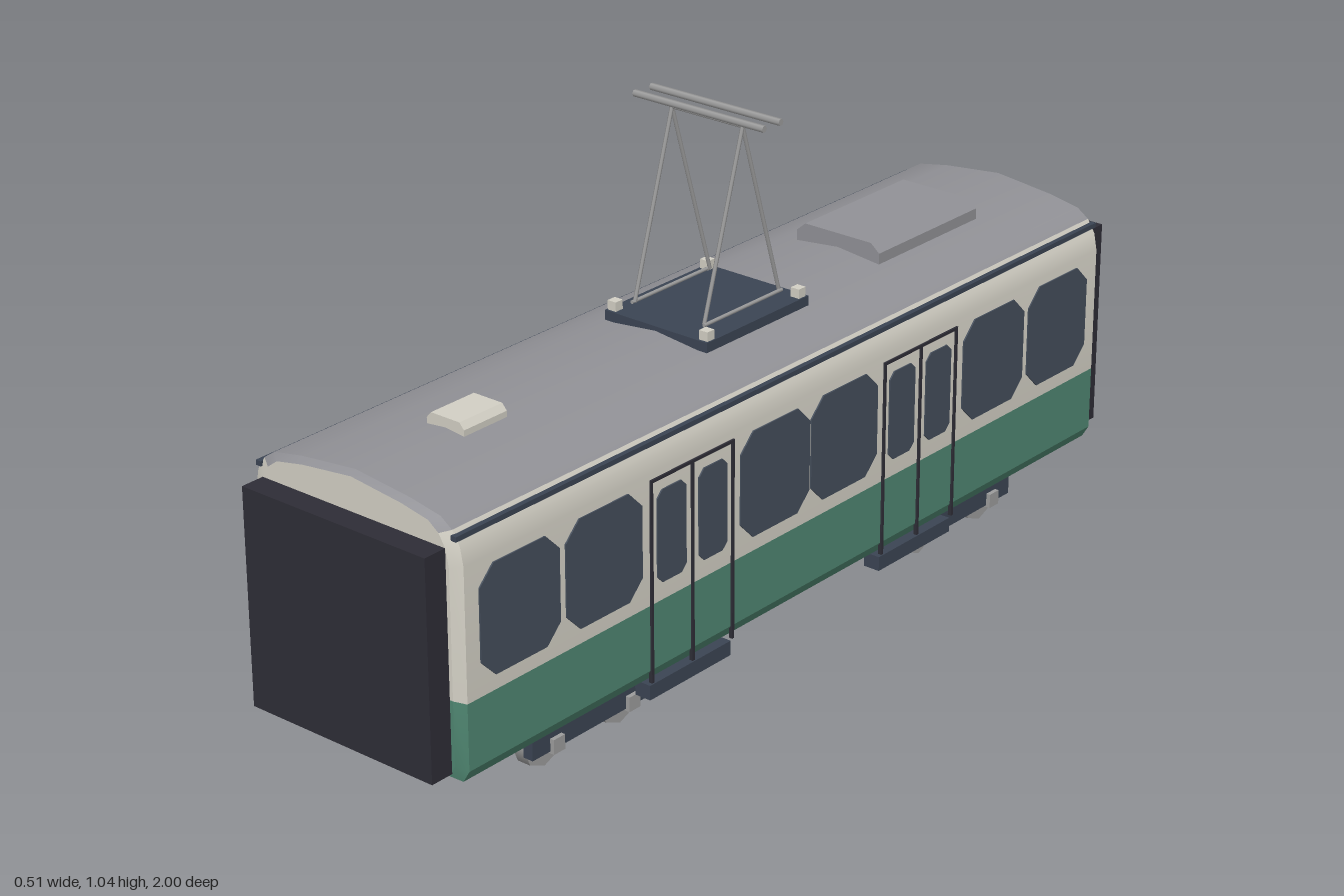
import * as THREE from 'three';
import { toCreasedNormals } from 'three/addons/utils/BufferGeometryUtils.js';

const mat = (name, color) => Object.assign(new THREE.MeshStandardMaterial({ color }), { name });

export function createModel() {
  const M = {
    green: mat('green paint', 0x4f8671),
    cream: mat('cream paint', 0xd2cfc4),
    grey: mat('roof grey', 0x919196),
    glass: mat('window glass', 0x454e5b),
    black: mat('bellows black', 0x2e2d36),
    steel: mat('blue steel', 0x3b4453),
    wheel: mat('wheel grey', 0x9c9c9c),
  };
  const root = new THREE.Group();
  root.name = 'tramCar';

  const add = (name, geo, material, x = 0, y = 0, z = 0, parent = root) => {
    const m = new THREE.Mesh(geo, material);
    m.name = name;
    m.position.set(x, y, z);
    parent.add(m);
    return m;
  };
  // Box given by its limits on each axis
  const box = (name, material, x0, x1, y0, y1, z0, z1, parent = root) =>
    add(name, new THREE.BoxGeometry(x1 - x0, y1 - y0, z1 - z0), material,
      (x0 + x1) / 2, (y0 + y1) / 2, (z0 + z1) / 2, parent);
  const rod = (name, material, a, b, r, parent) => {
    const p = new THREE.Vector3(...a), d = new THREE.Vector3(...b).sub(p);
    const m = add(name, new THREE.CylinderGeometry(r, r, d.length(), 6), material, 0, 0, 0, parent);
    m.position.copy(p).addScaledVector(d, 0.5);
    m.quaternion.setFromUnitVectors(new THREE.Vector3(0, 1, 0), d.normalize());
  };

  // Body shell: strips of the cross-section swept along z, drawn in at both ends
  const inset = ([x, y]) => [x * 0.91, 0.36 + (y - 0.36) * 0.965];
  const same = (p) => p;
  const stations = [[-0.95, inset], [-0.938, same], [0.938, same], [0.95, inset]];
  const sweep = (name, material, line) => {
    const pos = [];
    for (let s = 0; s < 3; s++) {
      for (let i = 0; i < line.length - 1; i++) {
        const [z0, f0] = stations[s], [z1, f1] = stations[s + 1];
        const a = [...f0(line[i]), z0], b = [...f0(line[i + 1]), z0];
        const c = [...f1(line[i + 1]), z1], d = [...f1(line[i]), z1];
        pos.push(...a, ...b, ...c, ...a, ...c, ...d);
      }
    }
    const g = new THREE.BufferGeometry();
    g.setAttribute('position', new THREE.Float32BufferAttribute(pos, 3));
    add(name, toCreasedNormals(g, 0.5), material);
  };
  const endCap = (name, material, outline) => {
    const shape = new THREE.Shape(outline.map((p) => new THREE.Vector2(...inset(p))));
    for (const s of [1, -1]) {
      const m = add(name, new THREE.ShapeGeometry(shape), material, 0, 0, s * 0.95);
      if (s < 0) m.rotation.y = Math.PI;
    }
  };
  const mirror = (line) => line.map(([x, y]) => [-x, y]).reverse();
  const skirt = [[0.235, 0.11], [0.25, 0.135], [0.25, 0.267]];
  const wall = [[0.25, 0.267], [0.25, 0.53], [0.243, 0.565], [0.226, 0.592]];
  const halfRoof = [[0.226, 0.592], [0.2, 0.61], [0.13, 0.623], [0, 0.637]];
  const roof = [...halfRoof, ...mirror(halfRoof).slice(1)];
  sweep('lowerSideLeft', M.green, skirt);
  sweep('lowerSideRight', M.green, mirror(skirt));
  sweep('upperSideLeft', M.cream, wall);
  sweep('upperSideRight', M.cream, mirror(wall));
  sweep('roof', M.grey, roof);
  sweep('floor', M.grey, [[-0.235, 0.11], [0.235, 0.11]]);
  endCap('lowerEnd', M.green, [...skirt, ...mirror(skirt)]);
  endCap('upperEnd', M.cream, [...wall, ...roof.slice(1, -1), ...mirror(wall)]);

  // Gangway bellows at both ends
  for (const s of [1, -1]) {
    add('bellows', new THREE.BoxGeometry(0.44, 0.435, 0.06), M.black, 0, 0.3425, s * 0.97);
  }

  // Window plate with cut corners, lying in the side wall
  const pane = (w, h, c) => {
    const x = w / 2, y = h / 2;
    const pts = [[-x + c, -y], [x - c, -y], [x, -y + c], [x, y - c],
      [x - c, y], [-x + c, y], [-x, y - c], [-x, -y + c]];
    const shape = new THREE.Shape(pts.map((p) => new THREE.Vector2(...p)));
    return new THREE.ExtrudeGeometry(shape, { depth: 0.006, bevelEnabled: false })
      .translate(0, 0, -0.003).rotateY(Math.PI / 2);
  };
  const windowGeo = pane(0.203, 0.215, 0.036);
  const doorPane = pane(0.08, 0.185, 0.014);

  for (const side of [1, -1]) {
    const x = side * 0.25;
    for (const e of [1, -1]) {
      for (const z of [0.802, 0.583, 0.104]) add('window', windowGeo, M.glass, x, 0.405, e * z);
      // Double door: seams, panes and step
      const door = new THREE.Group();
      door.name = 'door';
      door.position.set(x, 0, e * 0.342);
      root.add(door);
      for (const z of [-0.114, 0, 0.114]) {
        box('doorSeam', M.black, -0.004, 0.004, 0.11, 0.517, z - 0.003, z + 0.003, door);
      }
      box('doorHead', M.black, -0.004, 0.004, 0.511, 0.517, -0.114, 0.114, door);
      for (const z of [-0.058, 0.058]) add('doorWindow', doorPane, M.glass, 0, 0.396, z, door);
      add('step', new THREE.BoxGeometry(0.036, 0.03, 0.23), M.steel, -side * 0.021, 0.087, 0, door);
    }
    add('gutter', new THREE.BoxGeometry(0.012, 0.01, 1.89), M.steel, side * 0.235, 0.58, 0);
  }

  // Underframe box and bogies
  box('underframe', M.grey, -0.165, 0.165, 0.073, 0.112, -0.345, 0.345);
  const wheelGeo = new THREE.CylinderGeometry(0.055, 0.055, 0.03, 8).rotateZ(Math.PI / 2);
  for (const e of [1, -1]) {
    const bogie = new THREE.Group();
    bogie.name = 'bogie';
    bogie.position.z = e * 0.56;
    root.add(bogie);
    box('bolster', M.steel, -0.185, 0.185, 0.07, 0.112, -0.045, 0.045, bogie);
    for (const s of [1, -1]) {
      add('sideFrame', new THREE.BoxGeometry(0.022, 0.042, 0.33), M.steel, s * 0.19, 0.066, 0, bogie);
      for (const z of [0.103, -0.103]) {
        add('wheel', wheelGeo, M.wheel, s * 0.158, 0.055, z, bogie);
        add('axleBox', new THREE.BoxGeometry(0.012, 0.03, 0.03), M.wheel, s * 0.204, 0.056, z, bogie);
      }
    }
    for (const z of [0.103, -0.103]) {
      rod('axle', M.steel, [-0.15, 0.055, z], [0.15, 0.055, z], 0.012, bogie);
    }
  }

  // Roof boxes, narrowed towards the top
  const hatch = (name, material, w, h, l, taper, y, z) => {
    const g = new THREE.BoxGeometry(w, h, l, 1, 2, 1).toNonIndexed();
    const p = g.attributes.position;
    for (let i = 0; i < p.count; i++) {
      if (p.getY(i) > h * 0.4) p.setX(i, p.getX(i) * taper);
      else if (Math.abs(p.getY(i)) < 1e-4) p.setY(i, h * 0.15);
    }
    g.computeVertexNormals();
    add(name, g, material, 0, y, z);
  };
  hatch('airConditioner', M.grey, 0.204, 0.05, 0.32, 0.8, 0.641, -0.56);
  hatch('roofVent', M.cream, 0.09, 0.035, 0.11, 0.76, 0.639, 0.66);

  // Pantograph
  const panto = new THREE.Group();
  panto.name = 'pantograph';
  root.add(panto);
  box('basePlate', M.steel, -0.125, 0.125, 0.626, 0.646, -0.15, 0.15, panto);
  for (const s of [1, -1]) {
    for (const e of [1, -1]) {
      add('insulator', new THREE.BoxGeometry(0.02, 0.02, 0.02), M.cream, s * 0.112, 0.655, e * 0.135, panto);
      rod('arm', M.wheel, [s * 0.085, 0.66, e * 0.11], [s * 0.085, 1.019, 0], 0.004, panto);
    }
    rod('baseRail', M.wheel, [s * 0.088, 0.66, -0.115], [s * 0.088, 0.66, 0.115], 0.004, panto);
    rod('contactBar', M.wheel, [-0.156, 1.036, s * 0.024], [0.156, 1.036, s * 0.024], 0.007, panto);
  }
  rod('topBar', M.wheel, [-0.087, 1.019, 0], [0.087, 1.019, 0], 0.004, panto);
  return root;
}
